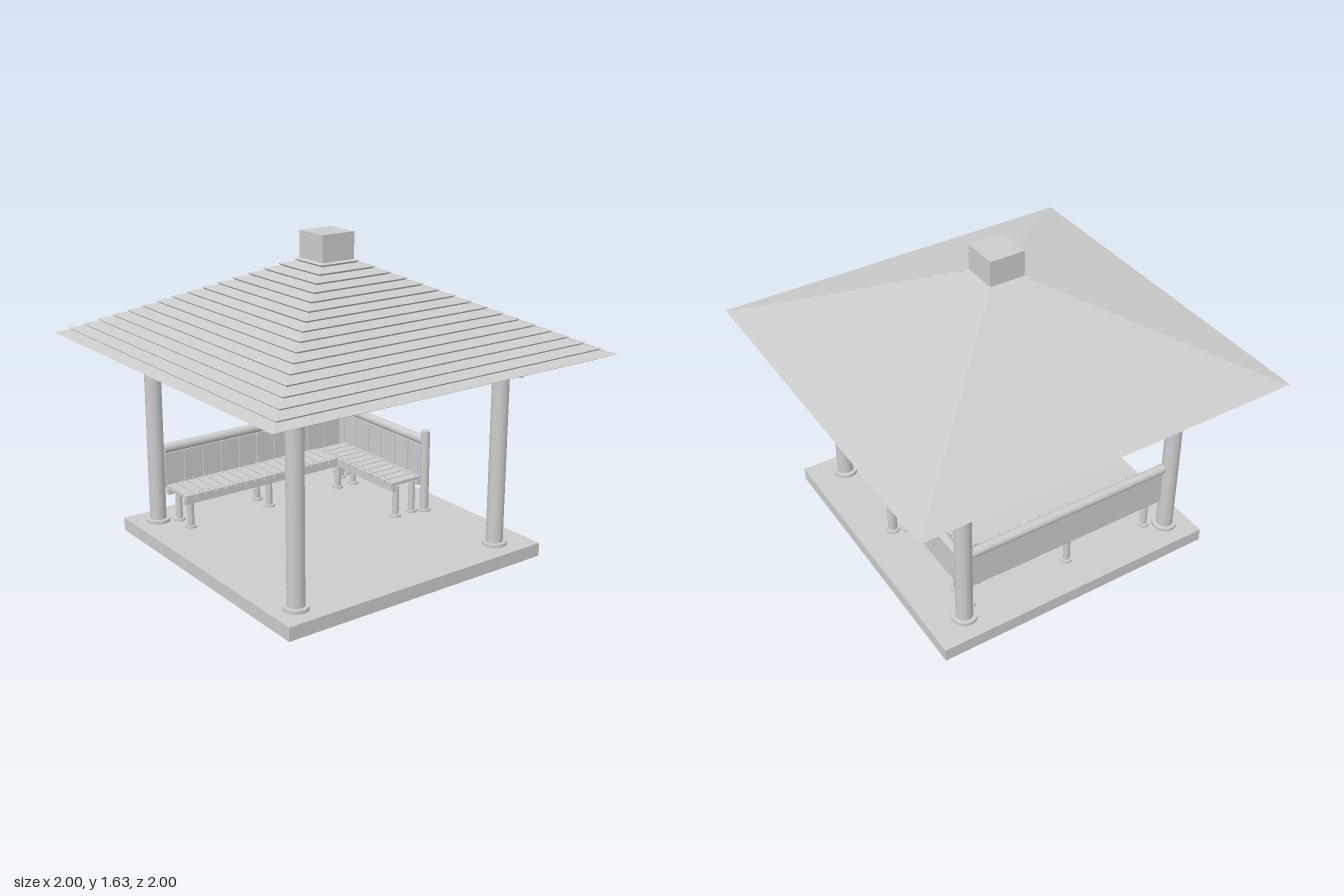
import * as THREE from 'three';

const smooth = new THREE.MeshStandardMaterial({ color: 0xcccccc });
const faceted = new THREE.MeshStandardMaterial({ color: 0xcccccc, flatShading: true, side: THREE.DoubleSide });
const UP = new THREE.Vector3(0, 1, 0);

function add(parent, name, geometry, x, y, z, material = smooth) {
  const mesh = new THREE.Mesh(geometry, material);
  mesh.name = name;
  mesh.position.set(x, y, z);
  parent.add(mesh);
  return mesh;
}

const box = (parent, name, w, h, d, x, y, z) =>
  add(parent, name, new THREE.BoxGeometry(w, h, d), x, y, z);

// Round log between two points
function log(parent, name, from, to, r, sides = 24) {
  const a = new THREE.Vector3(...from), b = new THREE.Vector3(...to);
  const dir = b.clone().sub(a);
  const mid = a.clone().add(b).multiplyScalar(0.5);
  const mesh = add(parent, name, new THREE.CylinderGeometry(r, r, dir.length(), sides), mid.x, mid.y, mid.z);
  mesh.quaternion.setFromUnitVectors(UP, dir.normalize());
  return mesh;
}

// Upright log standing on a round foot plate
function footedPost(parent, name, x, z, top, r, footR, footH) {
  log(parent, name, [x, 0.07, z], [x, top, z], r);
  log(parent, name + 'Foot', [x, 0.07, z], [x, 0.07 + footH, z], footR);
}

function createRoof() {
  const roof = new THREE.Group();
  roof.name = 'roof';
  // Hollow underside, eave lip, then overlapping board courses up to the cap
  const profile = [[0.03, 1.465], [0.93, 1.045], [1, 1.075]];
  const courses = 16, run = 0.0553, rise = 0.0262;
  for (let i = 0; i < courses; i++) {
    const r = 1 - i * run, y = 1.075 + i * rise;
    profile.push([r - run - 0.016, y + rise * 0.55], [r - run, y + rise]);
  }
  profile.push([0.09, 1.502]);
  const points = profile.map(([half, y]) => new THREE.Vector2(half * Math.SQRT2, y));
  add(roof, 'roofBoards', new THREE.LatheGeometry(points, 4, Math.PI / 4), 0, 0, 0, faceted);
  box(roof, 'roofCap', 0.19, 0.145, 0.19, 0, 1.5625, 0);
  return roof;
}

function createRafters() {
  const group = new THREE.Group();
  group.name = 'rafters';
  const ring = add(group, 'rafterRing', new THREE.TorusGeometry(0.18, 0.022, 12, 48), 0, 1.19, 0);
  ring.rotation.x = Math.PI / 2;
  // Six rafters per side fan out from the ring to evenly spaced points on the beams
  for (let side = 0; side < 4; side++) {
    const sector = new THREE.Group();
    sector.name = 'rafterFan';
    sector.rotation.y = side * Math.PI / 2;
    group.add(sector);
    for (let i = -2; i <= 3; i++) {
      const x = i * 0.222, z = 0.69, len = Math.hypot(x, z);
      log(sector, 'rafter', [x / len * 0.17, 1.195, z / len * 0.17], [x, 1.052, z], 0.02, 12);
    }
  }
  return group;
}

// Straight bench along local x, seat toward +z, backrest plane at z = 0
function createBench(name, length, seatLength, seatFrom, depth) {
  const bench = new THREE.Group();
  bench.name = name;
  const seatMid = seatFrom + seatLength / 2;
  log(bench, 'backRail', [0, 0.465, 0], [length, 0.465, 0], 0.025);
  box(bench, 'backPanel', length, 0.2, 0.014, length / 2, 0.35, 0.003);
  // Upright boards on the inner side of the backrest
  const boards = Math.round(length / 0.115), boardW = length / boards;
  for (let i = 0; i < boards; i++)
    box(bench, 'backBoard', boardW - 0.005, 0.18, 0.008, (i + 0.5) * boardW, 0.35, 0.013);
  // Bearers under the seat
  for (const z of [0.03, depth - 0.012])
    box(bench, 'seatBearer', seatLength, 0.03, 0.024, seatMid, 0.234, z);
  // Cross slats with a nail near each end
  const slats = Math.round(seatLength / 0.06), pitch = seatLength / slats;
  for (let i = 0; i < slats; i++) {
    const x = seatFrom + (i + 0.5) * pitch;
    box(bench, 'seatSlat', pitch - 0.008, 0.018, depth - 0.012, x, 0.258, depth / 2 + 0.008);
    for (const z of [0.035, depth - 0.02])
      log(bench, 'slatNail', [x, 0.262, z], [x, 0.272, z], 0.005, 8);
  }
  return bench;
}

export function createModel() {
  const model = new THREE.Group();
  model.name = 'pavilion';

  box(model, 'floorSlab', 1.54, 0.07, 1.54, 0, 0.035, 0);

  // Corner posts
  for (const x of [-0.64, 0.583])
    for (const z of [-0.632, 0.637])
      footedPost(model, 'cornerPost', x, z, 1.02, 0.043, 0.064, 0.018);

  // Crossing log beams
  for (const z of [-0.63, 0.625]) log(model, 'crossBeam', [-0.785, 1.01, z], [0.73, 1.01, z], 0.045);
  for (const x of [-0.635, 0.61]) log(model, 'sideBeam', [x, 1.01, -0.745], [x, 1.01, 0.75], 0.045);

  model.add(createRafters(), createRoof());

  // Long bench along the back
  const back = createBench('backBench', 1.14, 0.97, 0, 0.22);
  back.position.set(-0.6, 0, -0.625);
  // Short bench along the left side, turned to face inward
  const side = createBench('sideBench', 0.68, 0.68, 0, 0.215);
  side.rotation.y = -Math.PI / 2;
  side.position.set(0.585, 0, -0.6);
  model.add(back, side);

  // Bench legs and the end post of the short backrest
  for (const z of [-0.575, -0.455])
    for (const x of [-0.545, -0.055, 0.52]) footedPost(model, 'benchLeg', x, z, 0.225, 0.018, 0.031, 0.012);
  for (const [x, z] of [[0.41, 0.06], [0.52, 0.06], [0.41, -0.455]])
    footedPost(model, 'benchLeg', x, z, 0.245, 0.018, 0.031, 0.012);
  footedPost(model, 'benchEndPost', 0.585, 0.088, 0.52, 0.024, 0.036, 0.014);

  return model;
}
